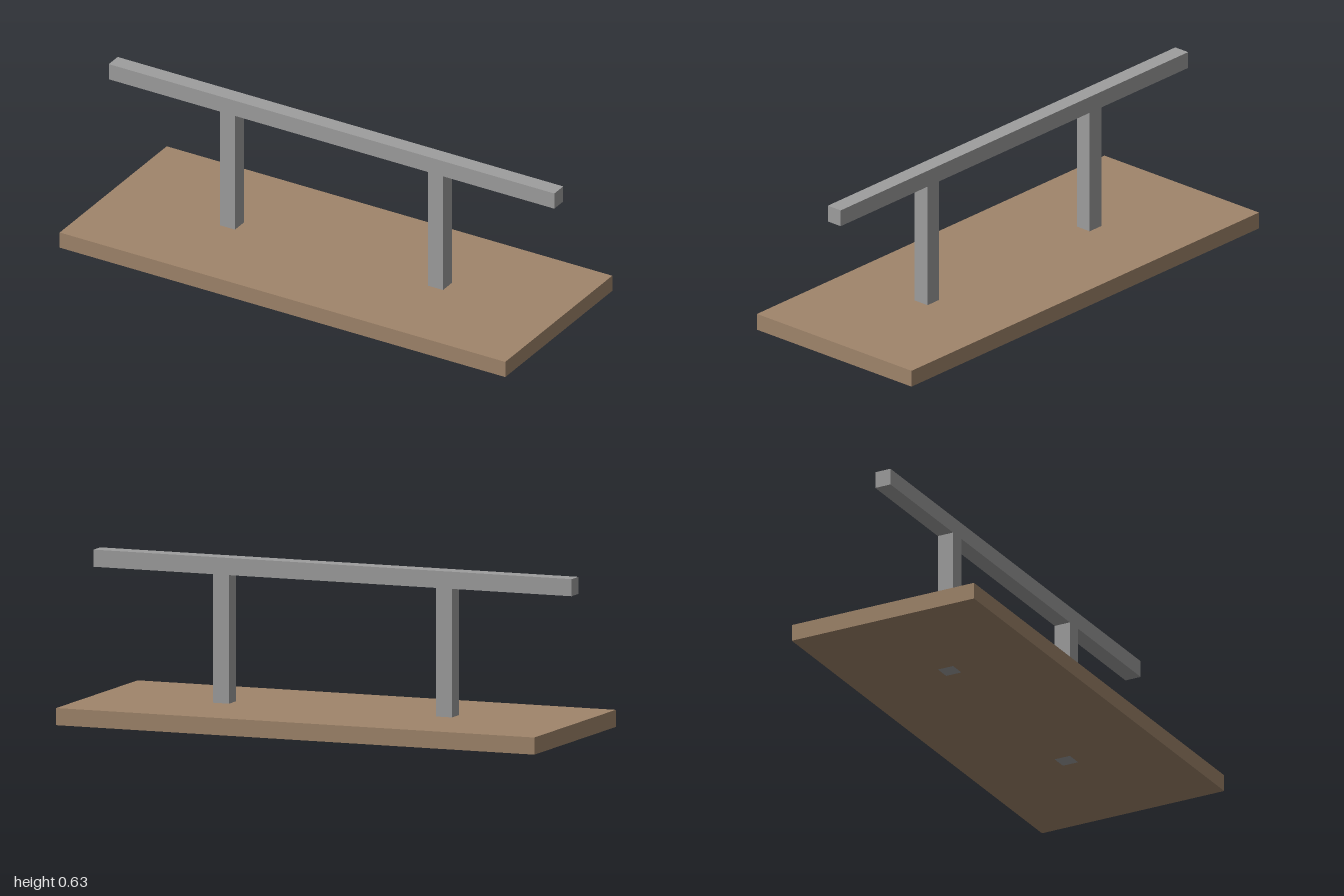
import * as THREE from 'three';

export function createModel() {
  const group = new THREE.Group();
  const wood = new THREE.MeshStandardMaterial({ color: 0xa0856b });
  wood.name = 'wood brown';
  const metal = new THREE.MeshStandardMaterial({ color: 0x9e9e9e });
  metal.name = 'metal grey';

  const bar = 1 / 15; // thickness of the board, posts and rail
  const postX = 0.5 - bar / 2;
  const railBottom = 8.5 * bar;

  const add = (name, geometry, material, x = 0, y = 0) => {
    const mesh = new THREE.Mesh(geometry, material);
    mesh.name = name;
    mesh.position.set(x, y, 0);
    group.add(mesh);
  };

  const rectangle = (Type, cx, w, d) => new Type([
    new THREE.Vector2(cx - w / 2, -d / 2),
    new THREE.Vector2(cx + w / 2, -d / 2),
    new THREE.Vector2(cx + w / 2, d / 2),
    new THREE.Vector2(cx - w / 2, d / 2),
  ]);

  // Base board, with square mortises that the posts pass through
  const outline = rectangle(THREE.Shape, 0, 2, 0.8);
  for (const side of [-1, 1]) outline.holes.push(rectangle(THREE.Path, side * postX, bar, bar));
  const board = new THREE.ExtrudeGeometry(outline, { depth: bar, bevelEnabled: false });
  board.rotateX(-Math.PI / 2);
  add('baseBoard', board, wood);

  // Two posts, flush with the underside of the board
  for (const [name, side] of [['rightPost', -1], ['leftPost', 1]]) {
    add(name, new THREE.BoxGeometry(bar, railBottom, bar), metal, side * postX, railBottom / 2);
  }

  // Top rail
  add('topRail', new THREE.BoxGeometry(2, bar, bar), metal, 0, railBottom + bar / 2);

  return group;
}
